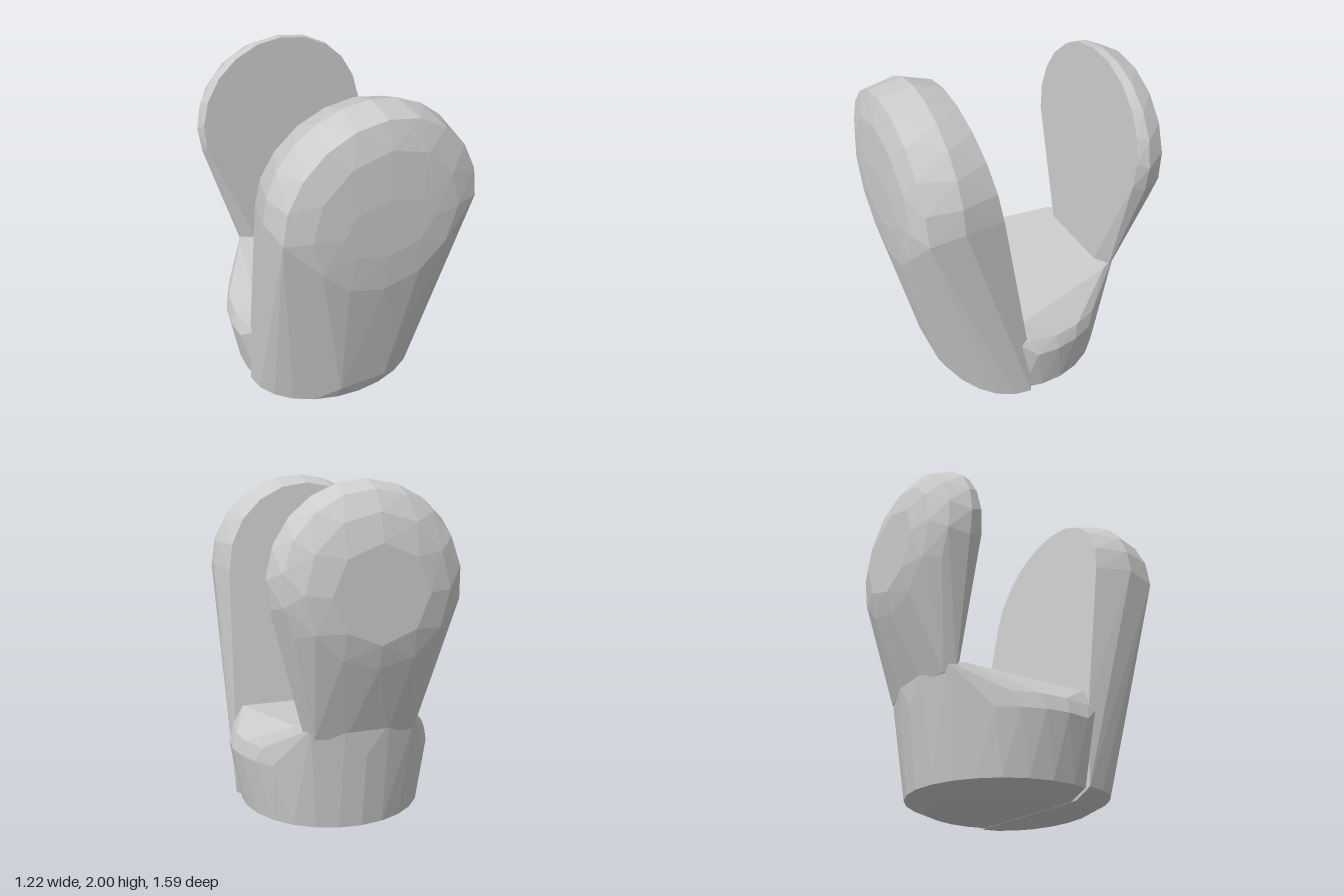
import * as THREE from 'three';
import { ConvexGeometry } from 'three/addons/geometries/ConvexGeometry.js';

const material = new THREE.MeshStandardMaterial({ color: 0xcccccc, flatShading: true });

// Points on an upright ellipse arc (degrees); z may be a number or a function of y.
function upright(rx, ry, cy, z, from, to, n) {
  const pts = [];
  for (let i = 0; i <= n; i++) {
    const a = THREE.MathUtils.degToRad(from + (to - from) * i / n);
    const y = cy + ry * Math.sin(a);
    pts.push(new THREE.Vector3(rx * Math.cos(a), y, typeof z === 'function' ? z(y) : z));
  }
  return pts;
}

// Points on a level ellipse arc (degrees), where 90 degrees is the front.
function level(rx, rz, y, cz, from, to, n) {
  const pts = [];
  for (let i = 0; i <= n; i++) {
    const a = THREE.MathUtils.degToRad(from + (to - from) * i / n);
    pts.push(new THREE.Vector3(rx * Math.cos(a), y, cz + rz * Math.sin(a)));
  }
  return pts;
}

// A point and its mirror across x = 0.
const pair = (x, y, z) => [new THREE.Vector3(x, y, z), new THREE.Vector3(-x, y, z)];

function hull(name, ...groups) {
  const mesh = new THREE.Mesh(new ConvexGeometry(groups.flat()), material);
  mesh.name = name;
  return mesh;
}

export function createModel() {
  const model = new THREE.Group();
  model.name = 'mittenShell';

  // Tall front slab: leaning inner face, rounded top, bulged outer face
  const innerZ = (y) => 0.18 + (y - 0.51) * 0.146;
  model.add(hull('frontSlab',
    level(0.45, 0.31, 0, 0.15, 0, 180, 10),
    level(0.56, 0.40, 0.05, 0.15, 0, 180, 12),
    pair(0.15, 0.17, 0.595),
    pair(0.55, 0.51, 0.18),
    upright(0.53, 0.54, 1.41, innerZ, 0, 180, 10),
    upright(0.58, 0.55, 1.45, 0.55, 0, 180, 12),
    upright(0.555, 0.55, 1.42, 0.735, 0, 180, 10),
    upright(0.42, 0.41, 1.42, 0.78, 0, 360, 12),
    upright(0.26, 0.17, 1.40, 0.797, 0, 360, 8)));

  // Rounded base with a bevelled, gently sloping top
  model.add(hull('base',
    level(0.43, 0.43, 0, 0, 160, 380, 14),
    level(0.55, 0.55, 0.05, 0, 160, 380, 16),
    level(0.612, 0.605, 0.40, 0.02, 170, 370, 16),
    level(0.585, 0.61, 0.49, 0, 165, 375, 14),
    pair(0.50, 0.60, 0.18),
    pair(0.54, 0.50, 0.25),
    pair(0.36, 0.655, -0.47),
    pair(0.31, 0.66, -0.57),
    pair(0.13, 0.665, -0.62)));

  // Pear-shaped back paddle: flat inside, domed outside
  model.add(hull('backPaddle',
    pair(0.23, 0.60, -0.463),
    pair(0.33, 0.60, -0.52),
    pair(0.29, 0.60, -0.575),
    pair(0.12, 0.60, -0.605),
    upright(0.525, 0.52, 1.45, (y) => -0.463 - (y - 0.66) * 0.048, -10, 190, 12),
    upright(0.545, 0.52, 1.45, -0.575, -15, 195, 12),
    upright(0.50, 0.49, 1.43, -0.69, -30, 210, 12),
    upright(0.40, 0.40, 1.41, -0.76, 0, 360, 12),
    upright(0.27, 0.26, 1.40, -0.797, 0, 360, 8)));

  return model;
}
